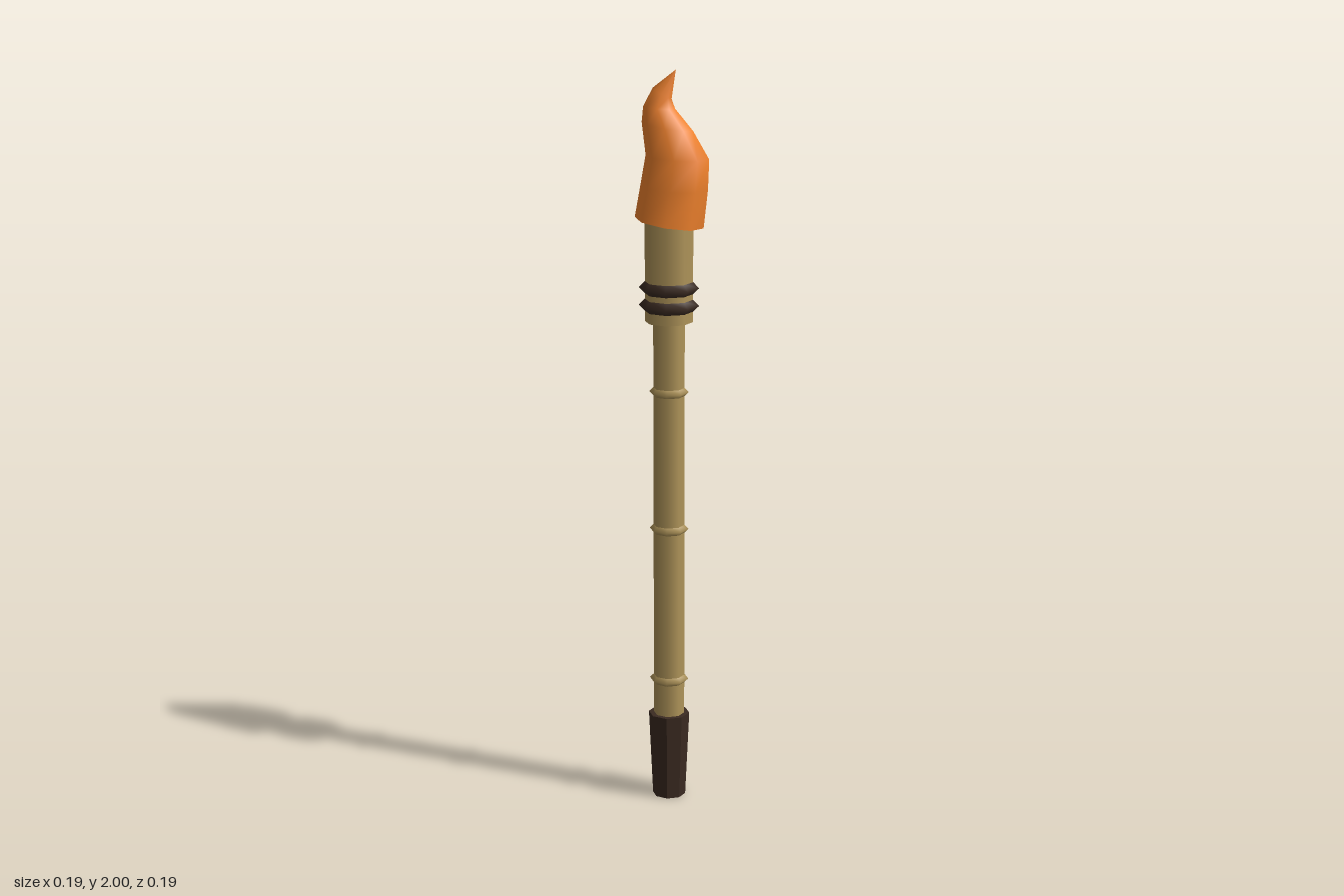
import * as THREE from 'three';

const SIDES = 8;
const AXIS_X = -0.008;
const bamboo = new THREE.MeshStandardMaterial({ color: 0xb0955a });
const darkWood = new THREE.MeshStandardMaterial({ color: 0x3b2b22 });
const darkWoodFlat = new THREE.MeshStandardMaterial({ color: 0x3b2b22, flatShading: true });
const fire = new THREE.MeshStandardMaterial({ color: 0xf0822d });

// Upright cylinder between two heights, corners on the x and z axes
function post(name, y0, y1, r0, r1, material) {
  const geometry = new THREE.CylinderGeometry(r1, r0, y1 - y0, SIDES);
  const mesh = new THREE.Mesh(geometry, material);
  mesh.name = name;
  mesh.position.set(AXIS_X, (y0 + y1) / 2, 0);
  return mesh;
}

// Ridge with a pointed profile wrapped round the shaft
function band(name, y, inner, outer, half, material) {
  const profile = [[inner, -half], [outer, 0], [inner, half]].map(p => new THREE.Vector2(...p));
  const mesh = new THREE.Mesh(new THREE.LatheGeometry(profile, SIDES), material);
  mesh.name = name;
  mesh.position.set(AXIS_X, y, 0);
  return mesh;
}

// Curling flame: tilted octagonal sections, closed underneath
function flameGeometry() {
  // left x, left y, right x, right y, half depth
  const sections = [
    [-0.098, 1.617, 0.083, 1.59, 0.094],
    [-0.083, 1.70, 0.094, 1.69, 0.088],
    [-0.069, 1.78, 0.097, 1.77, 0.079],
    [-0.079, 1.865, 0.055, 1.843, 0.057],
    [-0.075, 1.905, 0.008, 1.9, 0.037],
    [-0.05, 1.953, -0.001, 1.925, 0.023],
    [0.01, 2, 0.01, 2, 0],
  ];
  const positions = [];
  const index = [];
  const addRing = ([lx, ly, rx, ry, depth]) => {
    for (let i = 0; i < SIDES; i++) {
      const a = (i / SIDES) * Math.PI * 2;
      const t = (Math.cos(a) + 1) / 2;
      positions.push(lx + (rx - lx) * t, ly + (ry - ly) * t, Math.sin(a) * depth);
    }
  };
  sections.forEach(addRing);
  for (let s = 0; s < sections.length - 1; s++) {
    for (let i = 0; i < SIDES; i++) {
      const j = (i + 1) % SIDES;
      const a = s * SIDES + i, b = s * SIDES + j;
      index.push(a, a + SIDES, b);
      if (s < sections.length - 2) index.push(b, a + SIDES, b + SIDES);
    }
  }
  // Base has its own corners so the rim stays sharp
  const base = positions.length / 3;
  addRing(sections[0]);
  for (let i = 1; i < SIDES - 1; i++) index.push(base, base + i, base + i + 1);

  const geometry = new THREE.BufferGeometry();
  geometry.setAttribute('position', new THREE.Float32BufferAttribute(positions, 3));
  geometry.setIndex(index);
  geometry.computeVertexNormals();
  return geometry;
}

export function createModel() {
  const torch = new THREE.Group();
  torch.name = 'torch';

  // Shaft and tapered grip
  torch.add(post('grip', 0, 0.24, 0.045, 0.056, darkWoodFlat));
  torch.add(post('shaft', 0.2, 1.36, 0.042, 0.042, bamboo));
  for (const y of [0.34, 0.77, 1.15]) {
    torch.add(band('shaftJoint', y, 0.04, 0.053, 0.013, bamboo));
  }

  // Head with two dark bindings
  torch.add(post('head', 1.34, 1.61, 0.064, 0.064, bamboo));
  for (const y of [1.384, 1.431]) {
    torch.add(band('headBinding', y, 0.062, 0.08, 0.018, darkWood));
  }

  // Flame
  const flame = new THREE.Mesh(flameGeometry(), fire);
  flame.name = 'flame';
  torch.add(flame);

  return torch;
}
